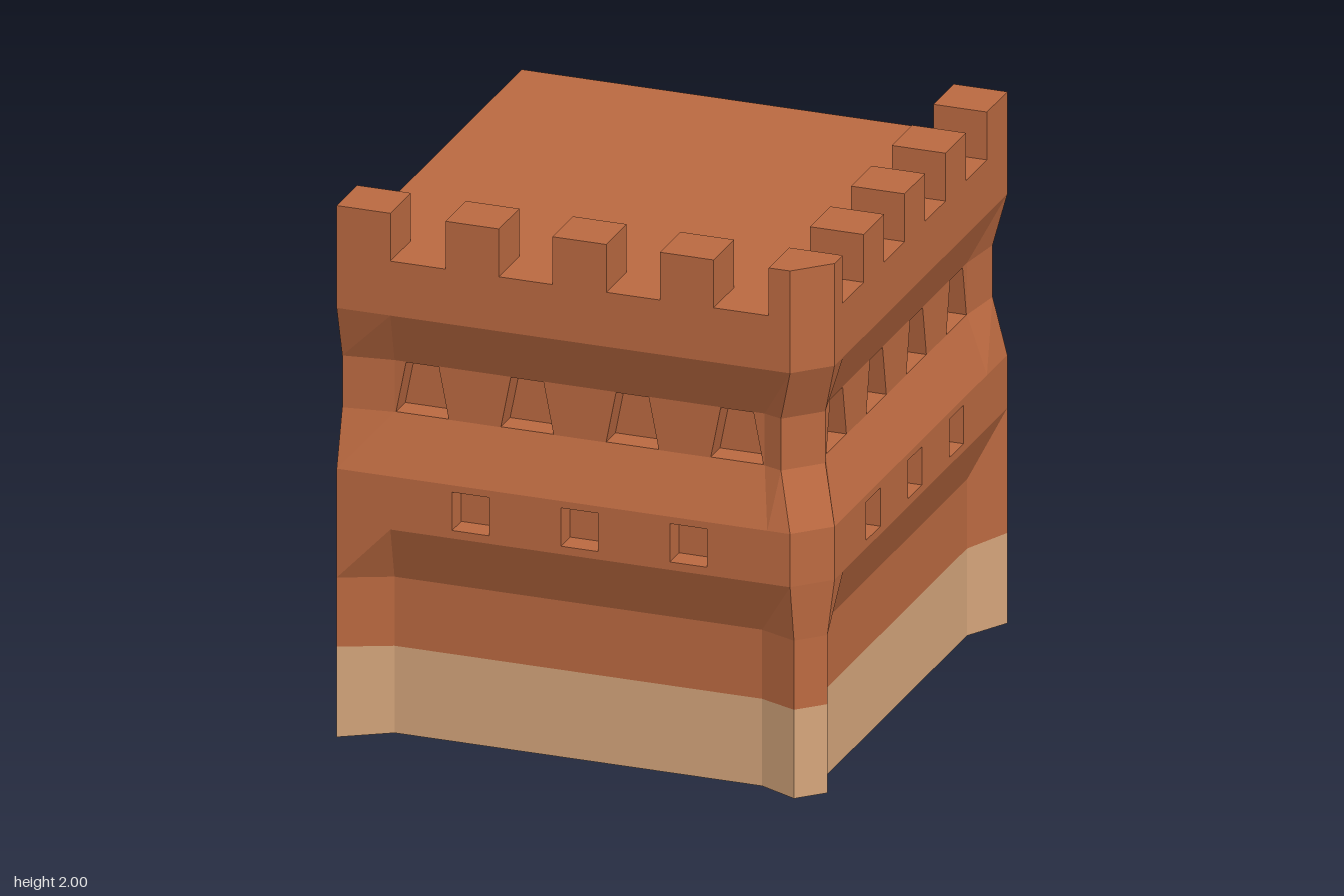
import * as THREE from 'three';

const brick = new THREE.MeshStandardMaterial({ name: 'brick', color: 0xbc6a41, side: THREE.DoubleSide, flatShading: true });
const stone = new THREE.MeshStandardMaterial({ name: 'paleStone', color: 0xd6a67c, side: THREE.DoubleSide, flatShading: true });

const R = 0.905;      // outer half width
const IN = 0.825;     // recessed wall plane
const DEPTH = 0.09;   // niche depth
const ROOF = 1.82;

// Joins neighbouring point rows with flat quads, leaving out the listed segments
function loft(rows, skip = []) {
  const pos = [];
  for (let j = 0; j < rows.length - 1; j++) {
    for (let i = 0; i < rows[j].length - 1; i++) {
      if (skip.includes(i)) continue;
      const a = rows[j][i], b = rows[j][i + 1], c = rows[j + 1][i + 1], d = rows[j + 1][i];
      pos.push(...a, ...b, ...c, ...a, ...c, ...d);
    }
  }
  const g = new THREE.BufferGeometry();
  g.setAttribute('position', new THREE.Float32BufferAttribute(pos, 3));
  g.computeVertexNormals();
  return g;
}

function add(parent, name, geometry, material = brick) {
  const mesh = new THREE.Mesh(geometry, material);
  mesh.name = name;
  parent.add(mesh);
  return mesh;
}

// Plan line of both walls at one height: end, bay, chamfered corner, bay, end
function level(y, end, bay, left, right, cornerA, cornerB, lift = 0) {
  const half = [[-R, end, 0], [left, bay, lift], [right, bay, lift], [cornerA, cornerB, lift / 2]];
  return [
    ...half.map(([x, z, l]) => [x, y + l, z]),
    ...half.slice().reverse().map(([x, z, l]) => [z, y + l, x]),
  ];
}
const flush = (y) => level(y, R, R, -0.705, 0.7, 0.785, R);
const waist = (y) => level(y, 0.85, IN, -0.72, 0.66, 0.73, 0.85);
const foot = (y, lift) => level(y, R, IN, -0.72, 0.65, 0.79, 0.88, lift);

const toShape = (pts) => new THREE.Shape(pts.map(([x, y]) => new THREE.Vector2(x, y)));

// Trapezoid outline centred on cx
const outline = (cx, y0, y1, w0, w1) =>
  [[cx - w0, y0], [cx + w0, y0], [cx + w1, y1], [cx - w1, y1]];

// Flat bay panel with closed niches set into it
function nichePanel(parent, name, z, x0, x1, y0, y1, holes) {
  const shape = toShape([[x0, y0], [x1, y0], [x1, y1], [x0, y1]]);
  for (const h of holes) shape.holes.push(toShape(h));
  const panel = new THREE.ShapeGeometry(shape);
  panel.translate(0, 0, z);
  add(parent, name + 'Panel', panel);
  for (const h of holes) {
    const ring = [...h, h[0]];
    add(parent, name + 'Reveal', loft([z, z - DEPTH].map((d) => ring.map(([x, y]) => [x, y, d]))));
    const back = new THREE.ShapeGeometry(toShape(h));
    back.translate(0, 0, z - DEPTH);
    add(parent, name + 'Back', back);
  }
}

// Both niche rows of one wall; s = -1 mirrors them for the side wall
function facade(name, s) {
  const g = new THREE.Group();
  g.name = name;
  const span = (a, b) => (s > 0 ? [a, b] : [-b, -a]);
  nichePanel(g, 'loophole', R, ...span(-0.705, 0.7), 0.81, 1.01,
    [-0.406, 0, 0.406].map((x) => outline(s * x, 0.84, 0.984, 0.069, 0.069)));
  nichePanel(g, 'window', IN, ...span(-0.72, 0.66), 1.22, 1.415,
    [-0.616, -0.225, 0.167, 0.557].map((x) => outline(s * x, 1.222, 1.413, 0.098, 0.061)));
  if (s < 0) g.rotation.y = Math.PI / 2;
  return g;
}

export function createModel() {
  const model = new THREE.Group();
  model.name = 'castleCornerWall';

  // Walls, from the pale base to the parapet
  add(model, 'wallBase', loft([foot(0, 0.012), foot(0.34, 0)]), stone);
  add(model, 'lowerWall', loft([foot(0.34, 0), foot(0.6, 0), flush(0.81)]));
  add(model, 'loopholeBand', loft([flush(0.81), flush(1.01)], [1, 5]));
  add(model, 'sillSlope', loft([flush(1.01), waist(1.22)]));
  add(model, 'windowBand', loft([waist(1.22), waist(1.415)], [1, 5]));
  add(model, 'upperWall', loft([waist(1.415), flush(1.615), flush(ROOF)]));
  model.add(facade('frontNiches', 1), facade('sideNiches', -1));

  // Flat roof with the chamfered corner
  const roof = new THREE.ShapeGeometry(toShape([[-R, -R], [0.785, -R], [R, -0.785], [R, R], [-R, R]]));
  roof.rotateX(-Math.PI / 2);
  roof.translate(0, ROOF, 0);
  add(model, 'roof', roof);

  // Merlons along both walls
  const h = 2 - ROOF;
  for (const c of [-0.805, -0.4, 0, 0.4]) {
    const front = add(model, 'frontMerlon', new THREE.BoxGeometry(0.2, h, 0.2));
    front.position.set(c, ROOF + h / 2, R - 0.1);
    const side = add(model, 'sideMerlon', new THREE.BoxGeometry(0.2, h, 0.2));
    side.position.set(R - 0.1, ROOF + h / 2, c);
  }
  const corner = new THREE.ExtrudeGeometry(
    toShape([[0.705, -R], [0.785, -R], [R, -0.785], [R, -0.705], [0.705, -0.705]]),
    { depth: h, bevelEnabled: false });
  corner.rotateX(-Math.PI / 2);
  corner.translate(0, ROOF, 0);
  add(model, 'cornerMerlon', corner);

  return model;
}
